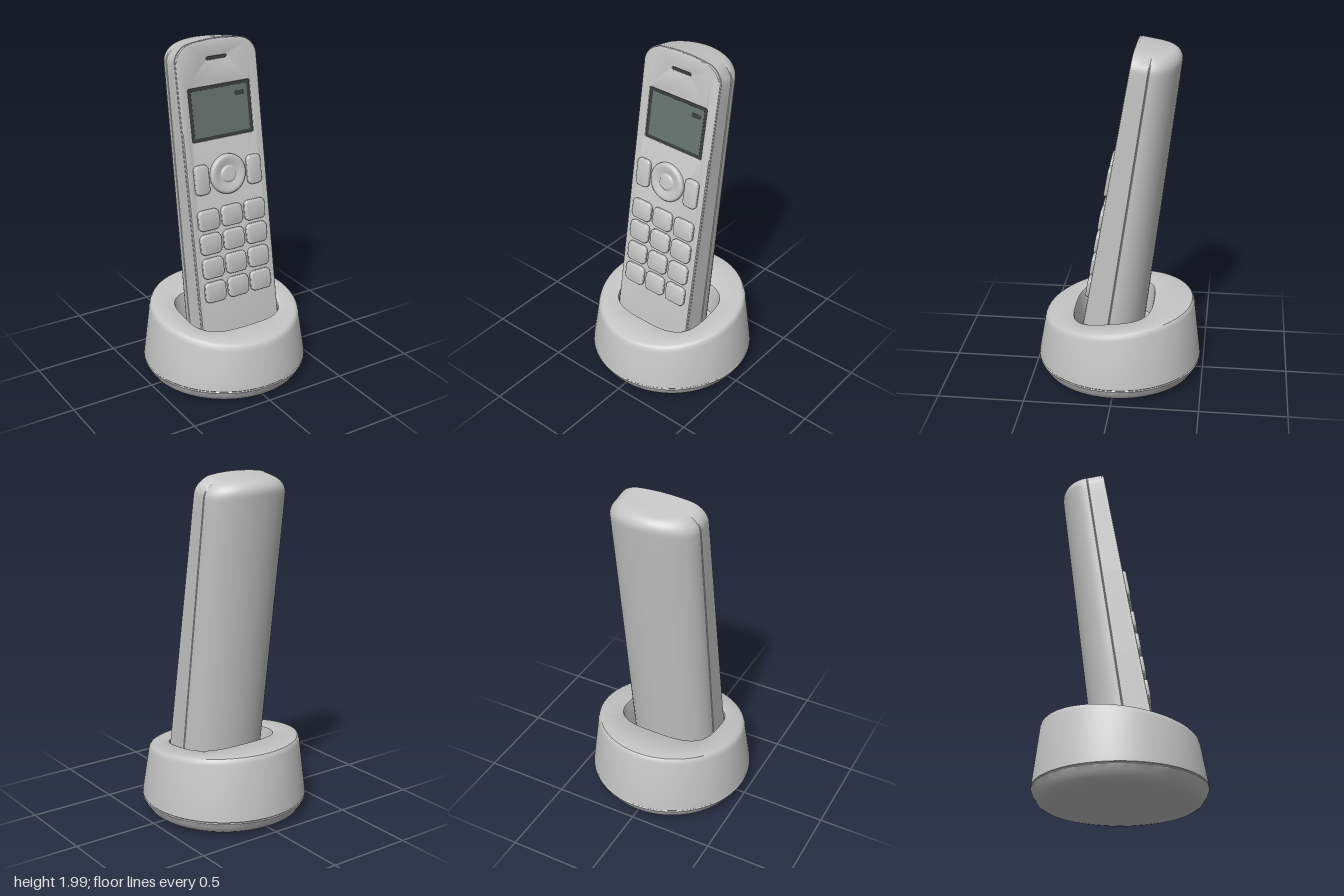
import * as THREE from 'three';
import { toCreasedNormals } from 'three/addons/utils/BufferGeometryUtils.js';

const plastic = new THREE.MeshStandardMaterial({ name: 'light grey plastic', color: 0xc6c6c6 });
const bezelDark = new THREE.MeshStandardMaterial({ name: 'dark bezel', color: 0x3a3e3c });
const displayGrey = new THREE.MeshStandardMaterial({ name: 'grey green display', color: 0x66716d });

const HALF = 0.26, TOP = 1.6, BOTTOM = -0.2, SKIN = 0.014;

function add(parent, name, geometry, material, x = 0, y = 0, z = 0) {
  const mesh = new THREE.Mesh(geometry, material);
  mesh.name = name;
  mesh.position.set(x, y, z);
  parent.add(mesh);
  return mesh;
}

// Skin a stack of closed rings and cap both ends
function loft(rings) {
  const n = rings[0].length, last = rings.length - 1, index = [];
  const points = rings.flat();
  const centre = (ring) => [0, 1, 2].map((k) => ring.reduce((sum, p) => sum + p[k], 0) / n);
  points.push(centre(rings[0]), centre(rings[last]));
  const c0 = n * rings.length, c1 = c0 + 1;
  for (let j = 0; j < n; j++) {
    const k = (j + 1) % n;
    for (let i = 0; i < last; i++) {
      const a = i * n + j, b = i * n + k;
      index.push(a, b, b + n, a, b + n, a + n);
    }
    index.push(c0, k, j, c1, last * n + j, last * n + k);
  }
  const g = new THREE.BufferGeometry();
  g.setAttribute('position', new THREE.Float32BufferAttribute(points.flat(), 3));
  g.setIndex(index);
  return g;
}

// Gently dome the upper end of the handset
function dome(g) {
  const p = g.attributes.position;
  for (let i = 0; i < p.count; i++) {
    const weight = Math.max(0, (p.getY(i) - 1.4) / 0.2);
    p.setY(i, p.getY(i) - 0.03 * weight * (p.getX(i) / HALF) ** 2);
  }
  return g;
}

function roundedRect(w, h, r, cx = 0, cy = 0, Type = THREE.Shape) {
  const s = new Type();
  const x = w / 2 - r, y = h / 2 - r;
  s.absarc(cx + x, cy + y, r, 0, Math.PI / 2);
  s.absarc(cx - x, cy + y, r, Math.PI / 2, Math.PI);
  s.absarc(cx - x, cy - y, r, Math.PI, Math.PI * 1.5);
  s.absarc(cx + x, cy - y, r, Math.PI * 1.5, Math.PI * 2);
  s.closePath();
  return s;
}

// Amount lost to the rounded top corners at height u
function cornerLoss(u, r) {
  const s = Math.max(0, (u - (TOP - r)) / r);
  return r * (1 - Math.sqrt(Math.max(0, 1 - s * s)));
}

// Convert a vertical height into distance along the tilted face
const along = (y) => (y - 0.42) * 1.015;

// Dock: round shell with a sloping top and a D-like well
function dockGeometry() {
  const N = 96;
  const topY = (z) => 0.42 - 0.12 * z - 0.06 * z * z;
  const ring = (fn) => Array.from({ length: N }, (_, i) => {
    const a = (i / N) * Math.PI * 2;
    return fn(Math.sin(a), Math.cos(a));
  });
  const low = [[0.39, 0], [0.425, 0.006], [0.45, 0.022], [0.472, 0.055], [0.483, 0.082],
    [0.479, 0.087], [0.483, 0.092], [0.48, 0.12]];
  const rim = [[0.444, -0.035], [0.438, -0.015], [0.43, -0.005], [0.415, 0]];
  const well = [[0.012, 0], [0.004, -0.004], [0, -0.014], [-0.012, -0.2]];
  return toCreasedNormals(loft([
    ...low.map(([r, y]) => ring((s, c) => [r * s, y, r * c])),
    ...rim.map(([r, d]) => ring((s, c) => [r * s, topY(r * c) + d, r * c])),
    ...well.map(([grow, d]) => ring((s, c) => {
      const r = (Math.abs(s / 0.29) ** 3.2 + Math.abs(c / 0.23) ** 3.2) ** (-1 / 3.2) + grow;
      const z = 0.03 + r * c;
      return [r * s, topY(z) + d, z];
    })),
  ]), 0.6);
}

// Handset shell: flat front, straight sides with a seam groove, curved back
function shellGeometry() {
  const levels = [BOTTOM, 0.4, 0.9, 1.4];
  for (let i = 0; i <= 10; i++) levels.push(TOP - 0.09 + 0.09 * Math.sin((i / 10) * Math.PI / 2));
  const rings = levels.map((u) => {
    const hw = HALF - cornerLoss(u, 0.09);
    const seam = 0.145 - 0.028 * u;
    const back = 0.34 - 0.05 * u - cornerLoss(u, 0.06) - seam - 0.004;
    const side = [[hw, -SKIN], [hw, -seam + 0.004], [hw - 0.004, -seam]];
    const pts = [];
    for (let i = 1; i < 8; i++) pts.push([(i / 4 - 1) * hw, -SKIN]);
    pts.push(...side);
    for (let i = 0; i <= 28; i++) {
      const a = (i / 28) * Math.PI;
      pts.push([hw * Math.cos(a), -seam - 0.004 - back * Math.sin(a)]);
    }
    pts.push(...side.reverse().map(([x, z]) => [-x, z]));
    return pts.map(([x, z]) => [x, u, z]);
  });
  return toCreasedNormals(dome(loft(rings)), 0.6);
}

// Front panel with openings for the display and earpiece
function panelGeometry() {
  const edge = 0.008, right = [];
  for (let i = 0; i <= 10; i++) {
    const a = (i / 10) * Math.PI / 2;
    right.push([HALF - 0.09 - edge + 0.09 * Math.cos(a), TOP - 0.09 - edge + 0.09 * Math.sin(a)]);
  }
  for (let i = 1; i < 6; i++) right.push([(HALF - 0.09 - edge) * (1 - i / 6), TOP - edge]);
  const left = right.map(([x, y]) => [-x, y]).reverse();
  const outline = [[-HALF + edge, BOTTOM], [HALF - edge, BOTTOM], ...right, [0, TOP - edge], ...left];
  const shape = new THREE.Shape(outline.map(([x, y]) => new THREE.Vector2(x, y)));
  shape.holes.push(
    roundedRect(0.412, 0.312, 0.016, 0, along(1.597), THREE.Path),
    roundedRect(0.142, 0.03, 0.014, 0, along(1.893), THREE.Path),
  );
  const g = new THREE.ExtrudeGeometry(shape, {
    depth: 0.008, bevelThickness: 0.006, bevelSize: 0.006, bevelSegments: 3, curveSegments: 6,
  });
  return toCreasedNormals(dome(g), 0.5);
}

// Soft-edged push button
function keyGeometry(w, h, r) {
  const b = 0.01;
  const g = new THREE.ExtrudeGeometry(roundedRect(w - 2 * b, h - 2 * b, r - b), {
    depth: 0.01, bevelThickness: b, bevelSize: b, bevelSegments: 4, curveSegments: 6,
  });
  return toCreasedNormals(g, 0.7);
}

export function createModel() {
  const model = new THREE.Group();
  model.name = 'cordlessPhone';
  add(model, 'dock', dockGeometry(), plastic);

  const handset = new THREE.Group();
  handset.name = 'handset';
  handset.position.set(0, 0.42, 0.18);
  handset.rotation.x = -Math.atan(0.174);
  model.add(handset);
  add(handset, 'handsetShell', shellGeometry(), plastic);
  add(handset, 'frontPanel', panelGeometry(), plastic, 0, 0, -SKIN + 0.006 - 0.006);

  // Display and earpiece
  const screenY = along(1.597);
  add(handset, 'displayBezel', new THREE.BoxGeometry(0.412, 0.312, 0.006), bezelDark, 0, screenY, -0.013);
  add(handset, 'display', new THREE.BoxGeometry(0.36, 0.262, 0.004), displayGrey, 0, screenY, -0.0105);
  add(handset, 'displayIcon', new THREE.BoxGeometry(0.06, 0.026, 0.002), bezelDark, 0.13, along(1.68), -0.0088);
  add(handset, 'earpieceSlot', new THREE.BoxGeometry(0.14, 0.026, 0.004), bezelDark, 0, along(1.893), -0.013);

  // Number keys
  const key = keyGeometry(0.136, 0.12, 0.03);
  for (const y of [1.01, 0.872, 0.732, 0.592]) {
    for (const x of [-0.153, 0, 0.153]) add(handset, 'numberKey', key, plastic, x, along(y), 0);
  }

  // Side keys and round navigation pad
  const sideKey = keyGeometry(0.092, 0.17, 0.028);
  for (const x of [-0.172, 0.172]) add(handset, 'sideKey', sideKey, plastic, x, along(1.24), 0);
  const profile = [[0.115, -0.002], [0.114, 0.012], [0.108, 0.02], [0.098, 0.023], [0.084, 0.021],
    [0.056, 0.014], [0.049, 0.011], [0.045, 0.018], [0.036, 0.022], [0, 0.02]];
  const pad = new THREE.LatheGeometry(profile.map(([r, h]) => new THREE.Vector2(r, h)), 48);
  pad.rotateX(Math.PI / 2);
  add(handset, 'navigationPad', pad, plastic, 0, along(1.245), 0);
  return model;
}
